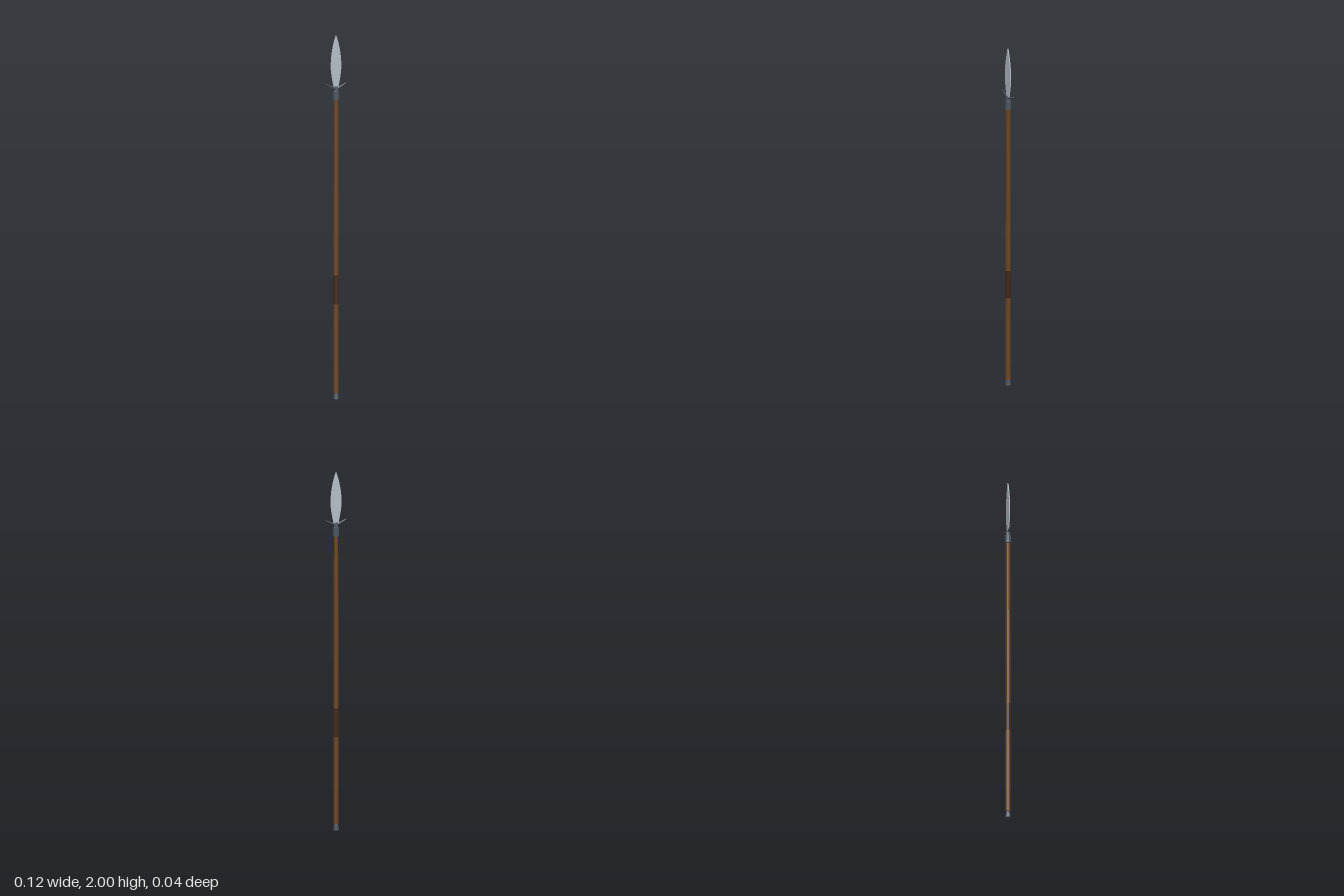
import * as THREE from 'three';

const SIDES = 8;
const mat = (color) => new THREE.MeshStandardMaterial({ color, flatShading: true });

export function createModel() {
  const spear = new THREE.Group();
  spear.name = 'spear';
  const wood = mat(0x6b4423), leather = mat(0x3f2818), iron = mat(0x4a525c), steel = mat(0xb4bcc4);

  const add = (name, geometry, material) => {
    const mesh = new THREE.Mesh(geometry, material);
    mesh.name = name;
    spear.add(mesh);
    return mesh;
  };
  // Faceted rod between two heights
  const rod = (name, rTop, rBottom, y0, y1, material) => {
    add(name, new THREE.CylinderGeometry(rTop, rBottom, y1 - y0, SIDES), material).position.y = (y0 + y1) / 2;
  };

  // Tapered shaft, grip wrap and flared butt cap
  rod('shaft', 0.0128, 0.0155, 0.035, 1.66, wood);
  rod('grip', 0.018, 0.018, 0.52, 0.68, leather);
  rod('buttCap', 0.011, 0.0165, 0, 0.04, iron);

  // Socket: collar at the shaft, narrowing to the blade
  const socket = [[0, 1.64], [0.018, 1.64], [0.0165, 1.688], [0.0135, 1.69], [0.011, 1.715], [0, 1.715]];
  add('socket', new THREE.LatheGeometry(socket.map(([r, y]) => new THREE.Vector2(r, y)), SIDES), iron);

  // Upswept side lugs
  for (const side of [1, -1]) {
    const from = new THREE.Vector3(side * 0.004, 1.703, 0);
    const to = new THREE.Vector3(side * 0.0615, 1.732, 0);
    const dir = to.clone().sub(from);
    const lug = add(side > 0 ? 'leftLug' : 'rightLug',
      new THREE.CylinderGeometry(0.0022, 0.0065, dir.length(), 6), iron);
    lug.position.copy(from).add(to).multiplyScalar(0.5);
    lug.quaternion.setFromUnitVectors(new THREE.Vector3(0, 1, 0), dir.normalize());
  }

  // Thin leaf-shaped blade with bevelled edges
  const leaf = new THREE.Shape();
  leaf.moveTo(0.012, 1.705);
  leaf.bezierCurveTo(0.022, 1.75, 0.031, 1.79, 0.031, 1.83);
  leaf.bezierCurveTo(0.031, 1.89, 0.018, 1.95, 0, 1.998);
  leaf.bezierCurveTo(-0.018, 1.95, -0.031, 1.89, -0.031, 1.83);
  leaf.bezierCurveTo(-0.031, 1.79, -0.022, 1.75, -0.012, 1.705);
  const blade = new THREE.ExtrudeGeometry(leaf, {
    depth: 0.002, curveSegments: 6, bevelEnabled: true, bevelSegments: 1,
    bevelThickness: 0.002, bevelSize: 0.002, bevelOffset: -0.001,
  });
  blade.translate(0, 0, -0.001);
  // Keep the bevelled point at full height
  const p = blade.attributes.position;
  for (let i = 0; i < p.count; i++) p.setY(i, Math.min(p.getY(i), 2));
  blade.computeVertexNormals();
  add('blade', blade, steel);

  return spear;
}
